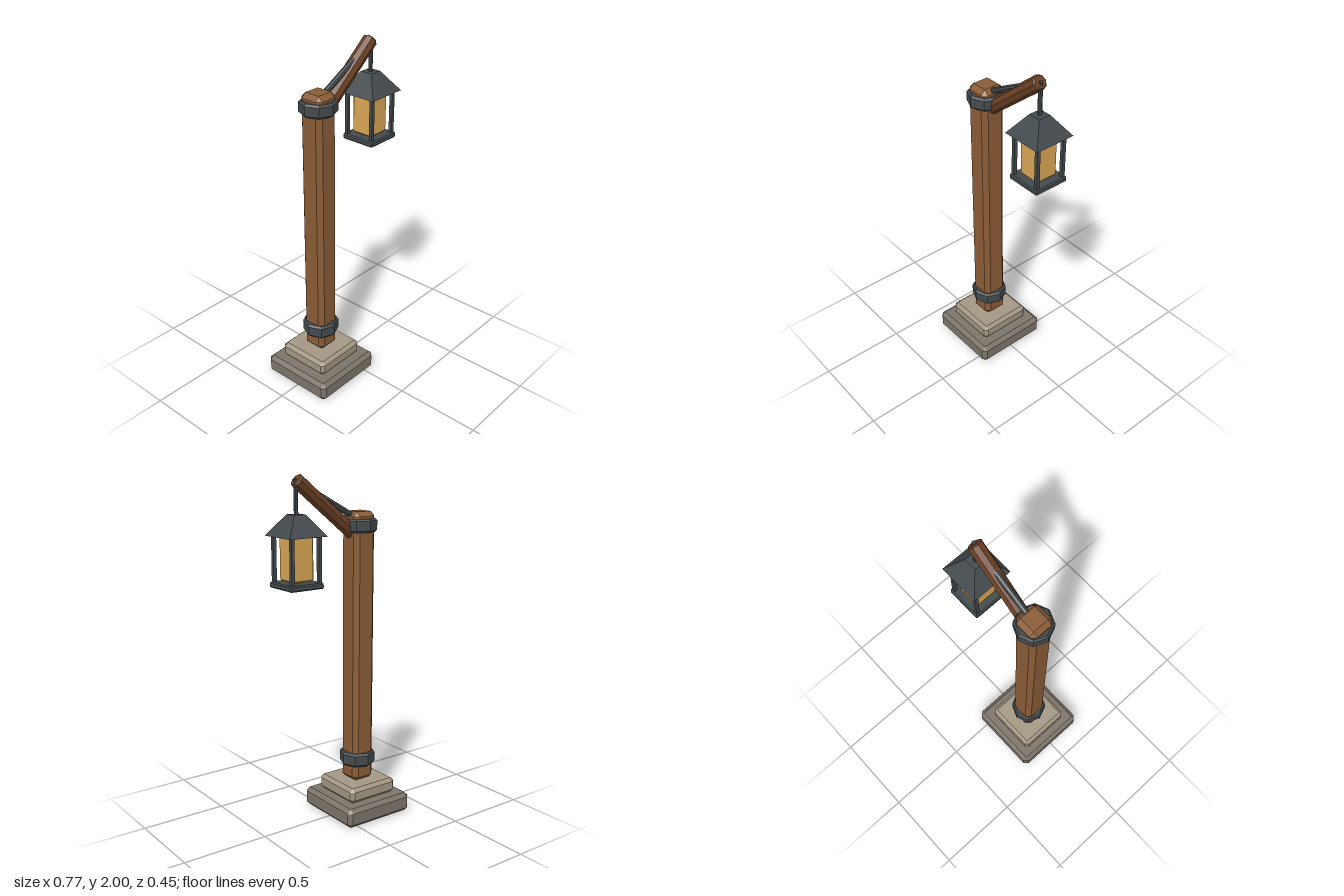
import * as THREE from 'three';
import { ConvexGeometry } from 'three/addons/geometries/ConvexGeometry.js';

const mat = (color) => new THREE.MeshStandardMaterial({ color, flatShading: true });

// Box with every edge cut at 45 degrees
function chamferBox(w, h, d, b) {
  const half = [w / 2, h / 2, d / 2];
  const points = [];
  for (const sx of [-1, 1]) for (const sy of [-1, 1]) for (const sz of [-1, 1]) {
    for (let full = 0; full < 3; full++) {
      const c = half.map((v, i) => (i === full ? v : v - b));
      points.push(new THREE.Vector3(sx * c[0], sy * c[1], sz * c[2]));
    }
  }
  return new ConvexGeometry(points);
}

// Solid eight-sided bar along y with chamfered ends
function chamferBar(radius, length, b) {
  const h = length / 2;
  const profile = [[0, -h], [radius - b, -h], [radius, -h + b], [radius, h - b], [radius - b, h], [0, h]];
  return new THREE.LatheGeometry(profile.map(([r, y]) => new THREE.Vector2(r, y)), 8);
}

export function createModel() {
  const group = new THREE.Group();
  const darkStone = mat(0x7c746a), lightStone = mat(0xa29783);
  const wood = mat(0x8a5c36), darkWood = mat(0x6b4024);
  const iron = mat(0x434a4d), glass = mat(0xd8a655);
  const postX = -0.158, lampX = 0.262;

  function add(name, geometry, material, x, y, z = 0, parent = group) {
    const mesh = new THREE.Mesh(geometry, material);
    mesh.name = name;
    mesh.position.set(x, y, z);
    parent.add(mesh);
    return mesh;
  }

  // Bar between two points in the z = 0 plane
  function addBar(name, material, radius, from, to, b) {
    const dx = to[0] - from[0], dy = to[1] - from[1];
    const bar = add(name, chamferBar(radius, Math.hypot(dx, dy), b), material,
      (from[0] + to[0]) / 2, (from[1] + to[1]) / 2);
    bar.rotation.z = Math.atan2(-dx, dy);
    return bar;
  }

  // Stepped stone foot
  add('lowerPlinth', chamferBox(0.453, 0.115, 0.453, 0.023), darkStone, postX, 0.0575);
  add('upperPlinth', chamferBox(0.325, 0.09, 0.325, 0.02), lightStone, postX, 0.16);

  // Post with two iron collars
  add('post', chamferBox(0.145, 1.585, 0.145, 0.026), wood, postX, 0.9925);
  add('lowerCollar', chamferBar(0.104, 0.08, 0.011), iron, postX, 0.335);
  add('upperCollar', chamferBar(0.104, 0.075, 0.011), iron, postX, 1.708);

  // Slanted arm and its brace
  addBar('arm', darkWood, 0.041, [-0.125, 1.656], [0.26, 1.968], 0.007);
  addBar('brace', iron, 0.017, [-0.108, 1.763], [0.19, 1.923], 0.005);

  // Hanging lantern
  const lantern = new THREE.Group();
  lantern.name = 'lantern';
  lantern.position.x = lampX;
  group.add(lantern);
  add('hanger', new THREE.CylinderGeometry(0.012, 0.012, 0.2, 8), iron, 0, 1.872, 0, lantern);

  const roof = new THREE.CylinderGeometry(0.037 * Math.SQRT2, 0.121 * Math.SQRT2, 0.114, 4);
  roof.rotateY(Math.PI / 4);
  add('lanternRoof', roof, iron, 0, 1.731, 0, lantern);
  add('lanternGlass', chamferBox(0.136, 0.25, 0.136, 0.01), glass, 0, 1.558, 0, lantern);
  add('lanternBase', chamferBox(0.213, 0.033, 0.213, 0.007), iron, 0, 1.411, 0, lantern);
  for (const sx of [-1, 1]) for (const sz of [-1, 1]) {
    add('lanternPost', new THREE.BoxGeometry(0.02, 0.26, 0.02), iron, sx * 0.087, 1.55, sz * 0.087, lantern);
  }
  return group;
}
